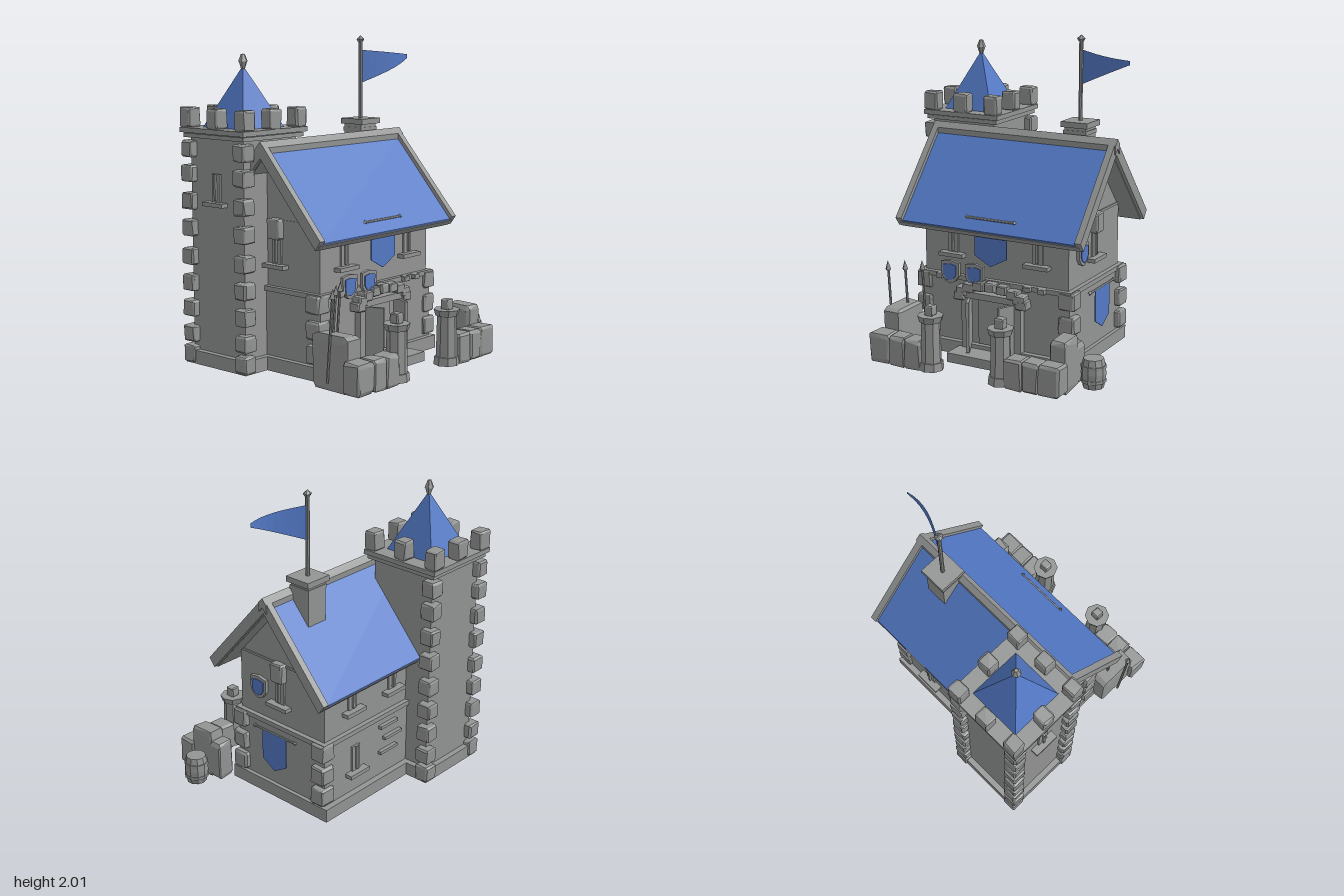
import * as THREE from 'three';
import { ConvexGeometry } from 'three/addons/geometries/ConvexGeometry.js';

const stone = new THREE.MeshStandardMaterial({ color: 0x939594 });
stone.name = 'stone grey';
const blue = new THREE.MeshStandardMaterial({ color: 0x5379c6, side: THREE.DoubleSide });
blue.name = 'cloth blue';

let seed = 7;
const rand = () => (seed = (seed * 16807) % 2147483647) / 2147483647;

export function createModel() {
  const model = new THREE.Group();
  model.name = 'castleHouse';

  // Adds a faceted mesh
  function add(name, geo, mat = stone, parent = model) {
    const g = geo.index ? geo.toNonIndexed() : geo;
    g.computeVertexNormals();
    const mesh = new THREE.Mesh(g, mat);
    mesh.name = name;
    parent.add(mesh);
    return mesh;
  }
  // Box from its lower and upper limits
  function box(name, x0, x1, y0, y1, z0, z1, mat, parent) {
    const m = add(name, new THREE.BoxGeometry(x1 - x0, y1 - y0, z1 - z0), mat, parent);
    m.position.set((x0 + x1) / 2, (y0 + y1) / 2, (z0 + z1) / 2);
    return m;
  }
  function cyl(name, r0, r1, h, sides, x, y, z, mat) {
    const m = add(name, new THREE.CylinderGeometry(r1, r0, h, sides), mat);
    m.position.set(x, y + h / 2, z);
    return m;
  }
  // Irregular chamfered stone block
  function rock(name, x, y, z, w, h, d) {
    const pts = [];
    for (const a of [-1, 1]) for (const b of [-1, 1]) for (const c of [-1, 1])
      for (let k = 0; k < 3; k++) {
        const p = [a, b, c].map((s, i) => s * (i === k ? 0.93 + rand() * 0.07 : 0.68 + rand() * 0.2));
        pts.push(new THREE.Vector3(p[0] * w / 2, p[1] * h / 2, p[2] * d / 2));
      }
    const m = add(name, new ConvexGeometry(pts));
    m.position.set(x, y, z);
    return m;
  }
  const shapeOf = (pts) => new THREE.Shape(pts.map(([a, b]) => new THREE.Vector2(a, b)));
  const slab = (pts, depth) => new THREE.ExtrudeGeometry(shapeOf(pts), { depth, bevelEnabled: false });
  // Section in z,y carried along x
  const alongX = (name, pts, x0, x1, mat) =>
    add(name, slab(pts, x1 - x0).rotateY(-Math.PI / 2).translate(x1, 0, 0), mat);

  // House walls, base and floor band
  box('housePlinth', -0.60, 0.50, 0, 0.085, -0.51, 0.29);
  box('lowerWalls', -0.565, 0.475, 0.04, 0.49, -0.47, 0.255);
  box('floorBand', -0.58, 0.49, 0.485, 0.515, -0.485, 0.27);
  alongX('upperWalls', [[-0.455, 0.5], [0.24, 0.5], [0.24, 0.91], [-0.105, 1.3], [-0.455, 0.91]], -0.55, 0.46);
  box('gableBand', -0.556, 0.466, 0.91, 0.925, -0.45, 0.238);
  for (const x of [-0.55, 0.46]) for (const z of [-0.44, 0.22]) for (const y of [0.155, 0.3, 0.455])
    rock('houseQuoin', x, y, z, 0.11, 0.115, 0.11);

  // Roof: chevron sections about the ridge line
  const ridgeZ = -0.105, slope = 1.14;
  function chevron(top, bottom, reach, inner) {
    const t = (d) => top - slope * d, b = (d) => bottom - slope * d;
    return [[ridgeZ, top], [ridgeZ - reach, t(reach)], [ridgeZ - inner, b(inner)], [ridgeZ, bottom],
      [ridgeZ + inner, b(inner)], [ridgeZ + reach, t(reach)]];
  }
  alongX('roofSlab', chevron(1.355, 1.29, 0.46, 0.43), -0.67, 0.58);
  for (const x of [-0.69, 0.56]) alongX('bargeBoard', chevron(1.40, 1.30, 0.475, 0.435), x, x + 0.042);
  alongX('ridgeCap', chevron(1.40, 1.34, 0.032, 0.03), -0.69, 0.61);
  for (const s of [-1, 1]) {
    const a = ridgeZ + s * 0.028, b = ridgeZ + s * 0.457;
    const ya = 1.355 - slope * 0.028, yb = 1.355 - slope * 0.457;
    alongX('roofPanel', [[a, ya], [b, yb], [b, yb + 0.008], [a, ya + 0.008]], -0.648, 0.56, blue);
  }

  // Corner tower with crown and spire
  const tx = -0.52, tz = -0.41;
  const square = (name, h, y0, y1) => box(name, tx - h, tx + h, y0, y1, tz - h, tz + h);
  square('towerPlinth', 0.262, 0, 0.085);
  square('towerBody', 0.225, 0.05, 1.41);
  square('towerCornice', 0.258, 1.40, 1.425);
  square('towerParapet', 0.275, 1.43, 1.46);
  square('towerParapetCore', 0.24, 1.42, 1.44);
  for (const i of [-1, 0, 1]) for (const j of [-1, 0, 1])
    if (i || j) rock('merlon', tx + i * 0.222, 1.52, tz + j * 0.235, 0.1, 0.125, 0.09);
  for (const [i, j] of [[-1, -1], [1, -1], [-1, 1]])
    for (const y of [0.06, 0.185, 0.345, 0.505, 0.67, 0.845, 1.01, 1.18, 1.33])
      rock('towerQuoin', tx + i * 0.225, y, tz + j * 0.225, 0.1, 0.105, 0.1);
  const spire = add('spire', new THREE.ConeGeometry(0.173 * Math.SQRT2, 0.37, 4).rotateY(Math.PI / 4), blue);
  spire.position.set(tx, 1.645, tz);
  cyl('spireNeck', 0.012, 0.028, 0.05, 6, tx, 1.81, tz);
  cyl('spireFinial', 0.03, 0.012, 0.045, 6, tx, 1.855, tz);

  // Chimney, flagpole and pennant
  box('chimney', 0.24, 0.385, 1.13, 1.45, -0.26, -0.12);
  box('chimneyCollar', 0.235, 0.39, 1.395, 1.42, -0.265, -0.115);
  box('chimneyCap', 0.225, 0.405, 1.44, 1.475, -0.278, -0.10);
  cyl('flagpole', 0.013, 0.013, 0.5, 8, 0.315, 1.47, -0.19);
  cyl('flagpoleKnob', 0.015, 0.027, 0.02, 6, 0.315, 1.96, -0.19);
  cyl('flagpoleTip', 0.027, 0.002, 0.022, 6, 0.315, 1.978, -0.19);
  const flag = new THREE.PlaneGeometry(1, 1, 8, 1), fp = flag.attributes.position;
  for (let i = 0; i < fp.count; i++) {
    const u = fp.getX(i) + 0.5, top = fp.getY(i) > 0;
    fp.setXYZ(i, 0.325 + 0.355 * u, top ? 1.91 - 0.035 * u : 1.70 + 0.15 * u, -0.19 + 0.1 * Math.sin(u * 2));
  }
  add('pennant', flag, blue);

  // Arrow-slit windows with sills
  function slit(x, y, z, turn) {
    const g = new THREE.Group();
    g.name = 'slitWindow';
    box('windowSurround', -0.035, 0.035, 0, 0.17, 0, 0.012, stone, g);
    box('windowBar', -0.007, 0.007, 0.01, 0.17, 0, 0.025, stone, g);
    box('windowSill', -0.085, 0.085, -0.025, 0, 0, 0.05, stone, g);
    g.position.set(x, y, z);
    g.rotation.y = turn;
    model.add(g);
  }
  const H = Math.PI / 2;
  slit(-0.34, 0.655, 0.24, 0);
  slit(0.255, 0.655, 0.24, 0);
  slit(0.46, 0.655, -0.1, H);
  slit(-0.55, 0.655, -0.1, -H);
  slit(0.22, 0.655, -0.455, Math.PI);
  slit(-0.15, 0.655, -0.455, Math.PI);
  slit(0.2, 0.23, -0.47, Math.PI);
  slit(-0.745, 1.02, -0.41, -H);
  for (const x of [-0.555, 0.465]) rock('gableStone', x, 0.87, -0.1, 0.09, 0.13, 0.1);
  for (const [x, y] of [[-0.1, 0.43], [-0.14, 0.34], [-0.1, 0.25]])
    box('wallLedge', x - 0.08, x + 0.08, y - 0.01, y + 0.01, -0.495, -0.46);

  // Doorway, open leaves, arch stones and step
  const doorX = -0.045;
  box('doorStep', -0.28, 0.195, 0, 0.06, 0.25, 0.44);
  box('doorPanel', doorX - 0.105, doorX + 0.105, 0.09, 0.39, 0.25, 0.27);
  box('doorLintel', doorX - 0.19, doorX + 0.19, 0.39, 0.43, 0.25, 0.31);
  for (const s of [-1, 1]) {
    box('doorJamb', doorX + s * 0.185 - 0.025, doorX + s * 0.185 + 0.025, 0.05, 0.4, 0.25, 0.30);
    const leaf = box('doorLeaf', -0.01, 0.01, 0.065, 0.39, -0.075, 0.075);
    leaf.position.set(doorX + s * 0.14, 0.228, 0.33);
    leaf.rotation.y = -s * 0.43;
  }
  for (let i = 0; i < 9; i++) {
    const a = Math.PI * i / 8;
    rock('archStone', doorX + 0.22 * Math.cos(a), 0.40 + 0.08 * Math.sin(a), 0.285, 0.075, 0.06, 0.08);
  }
  for (const x of [-0.42, -0.36, 0.2, 0.3]) rock('bandStone', x, 0.5, 0.275, 0.05, 0.035, 0.05);

  // Shields: rim with inset face
  const crest = (s) => [[-0.062, 0.06], [0, 0.072], [0.062, 0.06], [0.06, -0.02], [0.035, -0.055], [0, -0.072],
    [-0.035, -0.055], [-0.06, -0.02]].map(([a, b]) => [a * s, b * s]);
  function shield(x, y, z, turn) {
    const g = new THREE.Group();
    g.name = 'shield';
    add('shieldRim', slab(crest(1.05), 0.022), stone, g);
    add('shieldFace', slab(crest(0.76), 0.006).translate(0, 0, 0.022), blue, g);
    g.position.set(x, y, z);
    g.rotation.y = turn;
    model.add(g);
  }
  shield(-0.342, 0.535, 0.272, 0);
  shield(-0.165, 0.535, 0.272, 0);
  shield(0.46, 0.71, 0.075, H);

  // Banners on rods
  function banner(x, y, z, w, h, rod, turn) {
    const g = new THREE.Group();
    g.name = 'banner';
    add('bannerCloth', slab([[-w / 2, 0], [-w / 2, 0.06 - h], [0, -h], [w / 2, 0.06 - h], [w / 2, 0]], 0.006), blue, g);
    add('bannerRod', new THREE.CylinderGeometry(0.008, 0.008, rod, 6).rotateZ(H), stone, g);
    for (const s of [-1, 1]) {
      const knob = add('rodKnob', new THREE.OctahedronGeometry(0.016), stone, g);
      knob.position.x = s * rod / 2;
    }
    g.position.set(x, y, z);
    g.rotation.y = turn;
    model.add(g);
  }
  banner(-0.045, 0.905, 0.295, 0.225, 0.295, 0.33, 0);
  banner(0.52, 0.465, -0.1, 0.2, 0.26, 0.34, H);

  // Yard walls with gate pillars
  const rows = [[-0.63, 0.15], [-0.505, 0.12], [-0.39, 0.13], [0.31, 0.13], [0.425, 0.12], [0.545, 0.15]];
  for (const [x, w] of rows) rock('yardWallStone', x, 0.097, 0.605, w, 0.195, 0.13);
  rock('sideWallLeft', -0.61, 0.16, 0.42, 0.13, 0.34, 0.28);
  rock('sideWallRight', 0.55, 0.15, 0.47, 0.12, 0.33, 0.18);
  rock('sideWallRightLow', 0.55, 0.13, 0.37, 0.12, 0.26, 0.13);
  for (const x of [-0.288, 0.2]) {
    cyl('pillarBase', 0.08, 0.075, 0.05, 8, x, 0.01, 0.605);
    cyl('pillarShaft', 0.066, 0.06, 0.28, 8, x, 0.04, 0.605);
    cyl('pillarCap', 0.07, 0.082, 0.04, 8, x, 0.315, 0.605);
    rock('pillarFinial', x, 0.385, 0.605, 0.06, 0.065, 0.06);
  }

  // Spears leaning by the side wall
  for (const [x, z] of [[-0.69, 0.465], [-0.6, 0.41], [-0.505, 0.36]]) {
    const g = new THREE.Group();
    g.name = 'spear';
    add('spearShaft', new THREE.CylinderGeometry(0.008, 0.008, 0.52, 6).translate(0, -0.3, 0), stone, g);
    add('spearHead', new THREE.ConeGeometry(0.022, 0.06, 4).translate(0, -0.03, 0), stone, g);
    g.position.set(x, 0.605, z);
    g.rotation.x = 0.08;
    model.add(g);
  }

  // Barrel with hoops
  const profile = [[0, 0], [0.062, 0], [0.073, 0.05], [0.076, 0.09], [0.073, 0.13], [0.062, 0.18], [0, 0.18]];
  const barrel = add('barrel', new THREE.LatheGeometry(profile.map(([r, y]) => new THREE.Vector2(r, y)), 10));
  barrel.position.set(0.715, 0.018, 0.41);
  for (const y of [0.055, 0.14]) cyl('barrelHoop', 0.077, 0.077, 0.018, 10, 0.715, y, 0.41);

  return model;
}
